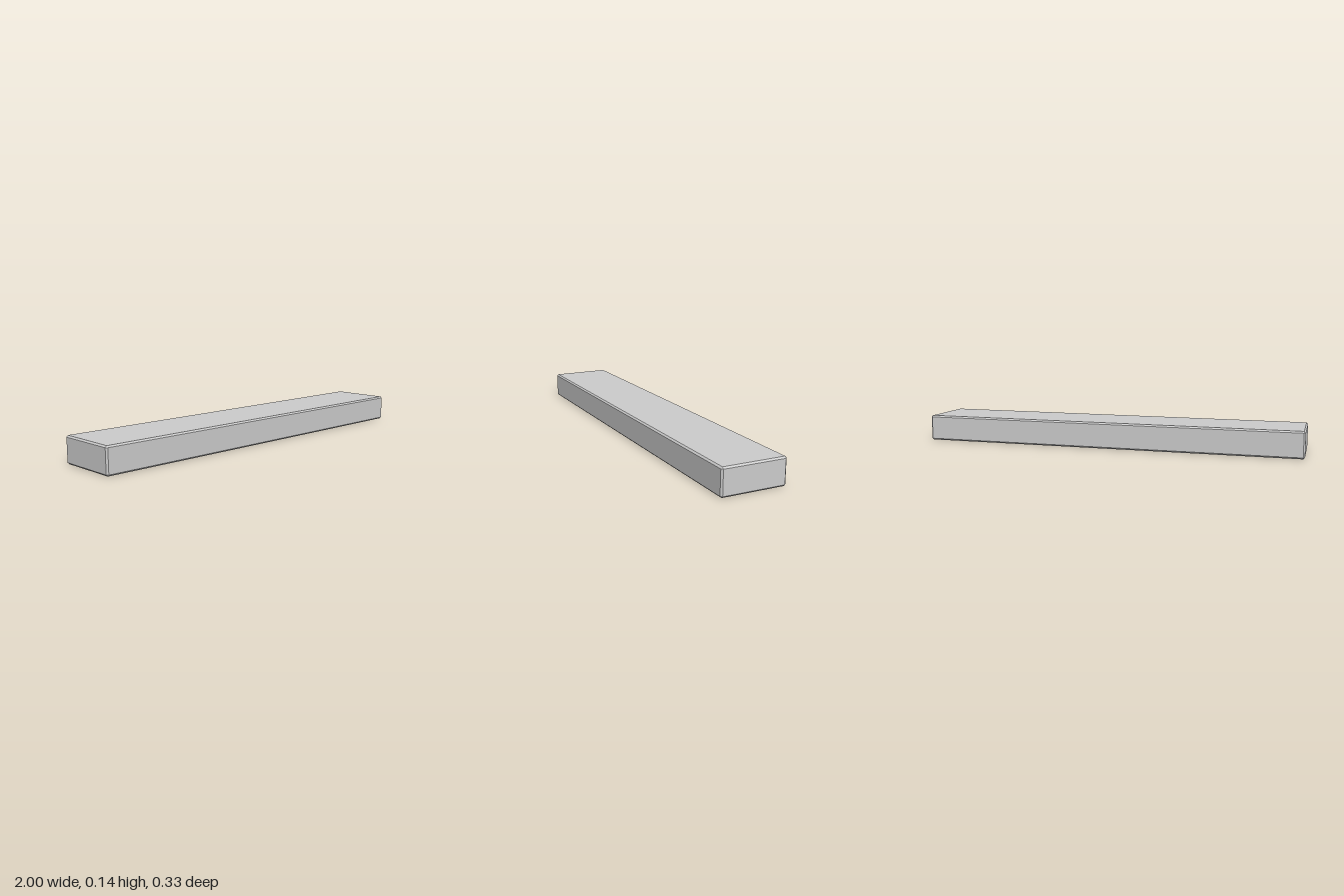
import * as THREE from 'three';

const HX = 1, HZ = 0.163, H = 0.135; // half length, half width, height
const C = 0.008;                     // edge chamfer
const WALL = 0.05, CEILING = 0.1;    // hollow underside

// Rectangular ring at height y with corners cut by c (c = 0 gives sharp corners)
function ring(hx, hz, c, y) {
  return [
    [hx, hz - c], [hx - c, hz], [c - hx, hz], [-hx, hz - c],
    [-hx, c - hz], [c - hx, -hz], [hx - c, -hz], [hx, c - hz],
  ].map(([x, z]) => new THREE.Vector3(x, y, z));
}

// Join consecutive rings with flat faces, skipping collapsed triangles
function loft(rings) {
  const points = [];
  const tri = (a, b, c) => {
    if (new THREE.Triangle(a, b, c).getArea() > 1e-9) points.push(a, b, c);
  };
  for (let k = 0; k < rings.length - 1; k++) {
    const lo = rings[k], hi = rings[k + 1];
    for (let i = 0; i < 8; i++) {
      const j = (i + 1) % 8;
      tri(lo[i], hi[i], hi[j]);
      tri(lo[i], hi[j], lo[j]);
    }
  }
  const geometry = new THREE.BufferGeometry().setFromPoints(points);
  geometry.computeVertexNormals();
  return geometry;
}

export function createModel() {
  const model = new THREE.Group();
  model.name = 'longTile';
  const grey = new THREE.MeshStandardMaterial({ color: 0xcccccc, flatShading: true });
  grey.name = 'lightGrey';

  // Chamfered shell: cavity ceiling, inner walls, rim, outer walls, top
  const shell = new THREE.Mesh(loft([
    ring(0, 0, 0, CEILING),
    ring(HX - WALL, HZ - WALL, 0, CEILING),
    ring(HX - WALL, HZ - WALL, 0, 0),
    ring(HX - C, HZ - C, 0, 0),
    ring(HX, HZ, C, C),
    ring(HX, HZ, C, H - C),
    ring(HX - C, HZ - C, 0, H),
    ring(0, 0, 0, H),
  ]), grey);
  shell.name = 'shell';
  model.add(shell);

  // Row of octagonal pins under the ceiling
  const pinGeometry = new THREE.CylinderGeometry(0.066, 0.066, CEILING, 8, 1, false, Math.PI / 8);
  for (let i = -2; i <= 2; i++) {
    const pin = new THREE.Mesh(pinGeometry, grey);
    pin.name = 'undersidePin';
    pin.position.set(i / 3, CEILING / 2, 0);
    model.add(pin);
  }
  return model;
}
